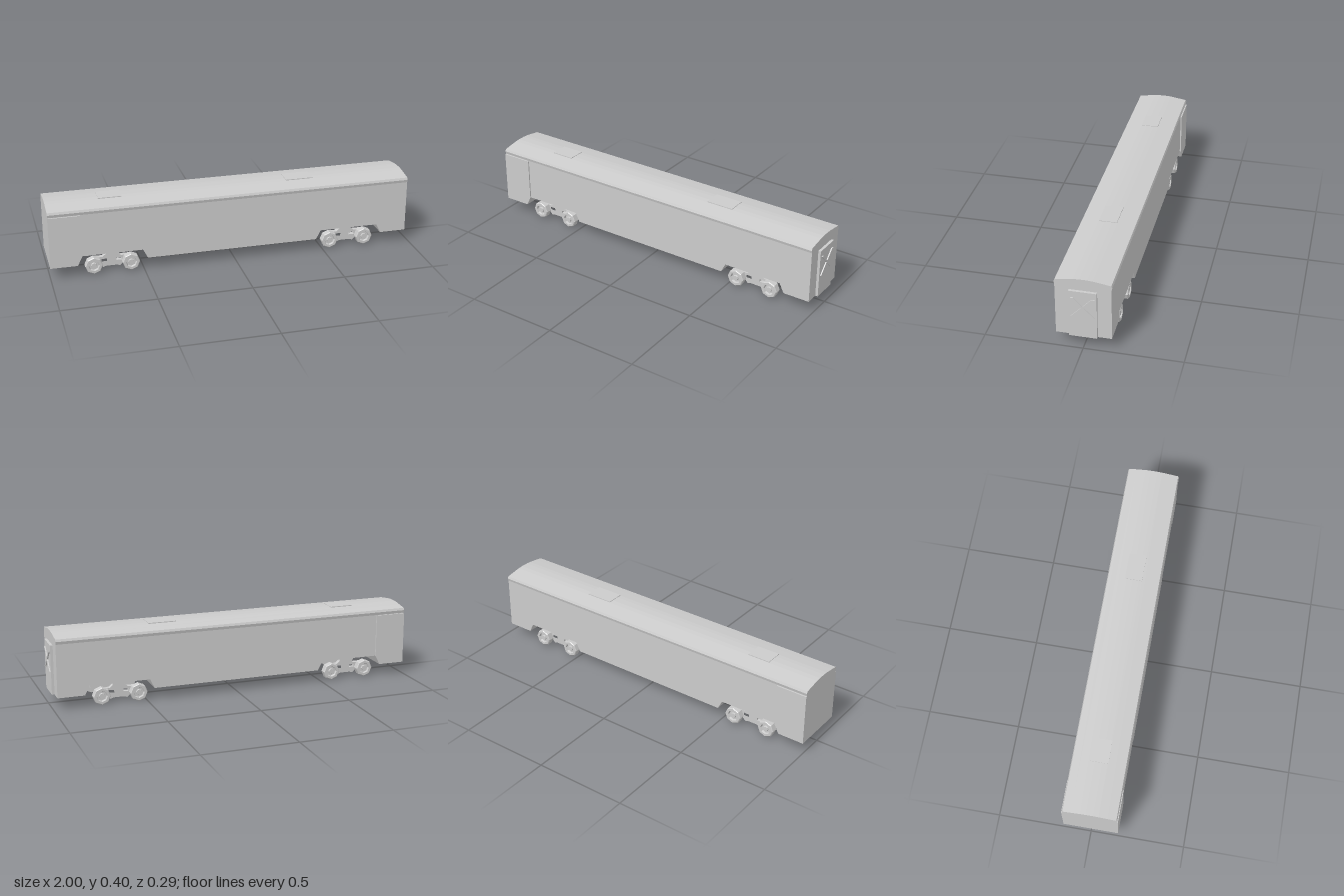
import * as THREE from 'three';

const grey = new THREE.MeshStandardMaterial({ color: 0xcccccc, flatShading: true });

function add(parent, name, geometry) {
  const mesh = new THREE.Mesh(geometry, grey);
  mesh.name = name;
  parent.add(mesh);
  return mesh;
}

// Extrude an outline along z, from z0 to z1
function slab(points, z0, z1, holes = []) {
  const shape = new THREE.Shape(points.map(([x, y]) => new THREE.Vector2(x, y)));
  for (const h of holes) shape.holes.push(new THREE.Path(h.map(([x, y]) => new THREE.Vector2(x, y))));
  return new THREE.ExtrudeGeometry(shape, { depth: z1 - z0, bevelEnabled: false }).translate(0, 0, z0);
}

function box(x0, x1, y0, y1, z0, z1) {
  return new THREE.BoxGeometry(x1 - x0, y1 - y0, z1 - z0)
    .translate((x0 + x1) / 2, (y0 + y1) / 2, (z0 + z1) / 2);
}

// Wheel with a raised rim, dished face and hub, axis along z
function wheelGeometry() {
  const profile = [
    [0, 0.098], [0.047, 0.098], [0.047, 0.129], [0.043, 0.133], [0.03, 0.133],
    [0.026, 0.122], [0.016, 0.122], [0.014, 0.13], [0, 0.13],
  ].map(([r, h]) => new THREE.Vector2(r, h));
  return new THREE.LatheGeometry(profile, 8).rotateX(Math.PI / 2);
}

// Truck: four wheels and two side frames
function createTruck(x) {
  const truck = new THREE.Group();
  truck.name = 'truck';
  truck.position.x = x;
  const half = [
    [0.028, 0.115], [0.032, 0.09], [0.05, 0.076], [0.1, 0.076], [0.115, 0.062],
    [0.115, 0.036], [0.065, 0.036], [0.045, 0.016], [0.03, 0.022],
  ];
  const outline = [...half, ...half.map(([px, py]) => [-px, py]).reverse()];
  const slots = [-1, 1].map((s) => [
    [s * 0.025, 0.05], [s * 0.055, 0.05], [s * 0.055, 0.064], [s * 0.025, 0.064],
  ]);
  for (const side of [-1, 1]) {
    const frame = slab(outline, 0.068, 0.093, slots);
    if (side < 0) frame.rotateY(Math.PI);
    add(truck, 'sideFrame', frame);
    for (const wx of [-0.1, 0.1]) {
      const wheel = add(truck, 'wheel', wheelGeometry());
      wheel.position.set(wx, 0.047, 0);
      if (side < 0) wheel.rotation.y = Math.PI;
    }
  }
  return truck;
}

export function createModel() {
  const car = new THREE.Group();
  car.name = 'railCar';

  // Lower body with clearance recesses above the trucks
  add(car, 'body', slab([
    [-1, 0.065], [-0.855, 0.065], [-0.83, 0.115], [-0.505, 0.115], [-0.48, 0.065],
    [0.46, 0.065], [0.485, 0.115], [0.81, 0.115], [0.835, 0.065],
    [0.98, 0.065], [0.98, 0.35], [-1, 0.35],
  ], -0.14, 0.14));

  // Roof with bulging eaves, extruded along the length
  const eave = [[0.14, 0.35], [0.144, 0.365], [0.139, 0.377], [0.095, 0.384], [0.048, 0.391], [0.02, 0.393]];
  const section = [...eave, ...eave.map(([z, y]) => [-z, y]).reverse()];
  add(car, 'roof', slab(section, -1, 0.98).rotateY(Math.PI / 2));

  // Roof hatches
  for (const [x0, x1] of [[-0.72, -0.595], [0.31, 0.46]]) {
    add(car, 'roofHatch', box(x0, x1, 0.38, 0.3955, -0.047, 0.047));
  }

  // Raised side panels at one end
  const panel = [[-1, 0.065], [-0.855, 0.065], [-0.83, 0.115], [-0.83, 0.348], [-1, 0.348]];
  add(car, 'leftSidePanel', slab(panel, 0.139, 0.147));
  add(car, 'rightSidePanel', slab(panel, -0.147, -0.139));

  // End door with crossed braces
  add(car, 'endDoor', box(0.975, 0.994, 0.065, 0.33, -0.07, 0.07));
  for (const s of [-1, 1]) {
    const brace = slab([
      [s * -0.06, 0.185], [s * -0.045, 0.185], [s * 0.06, 0.295], [s * 0.045, 0.295],
    ], 0.99, 1);
    add(car, 'doorBrace', brace.rotateY(Math.PI / 2));
  }

  car.add(createTruck(-0.668), createTruck(0.643));
  return car;
}
